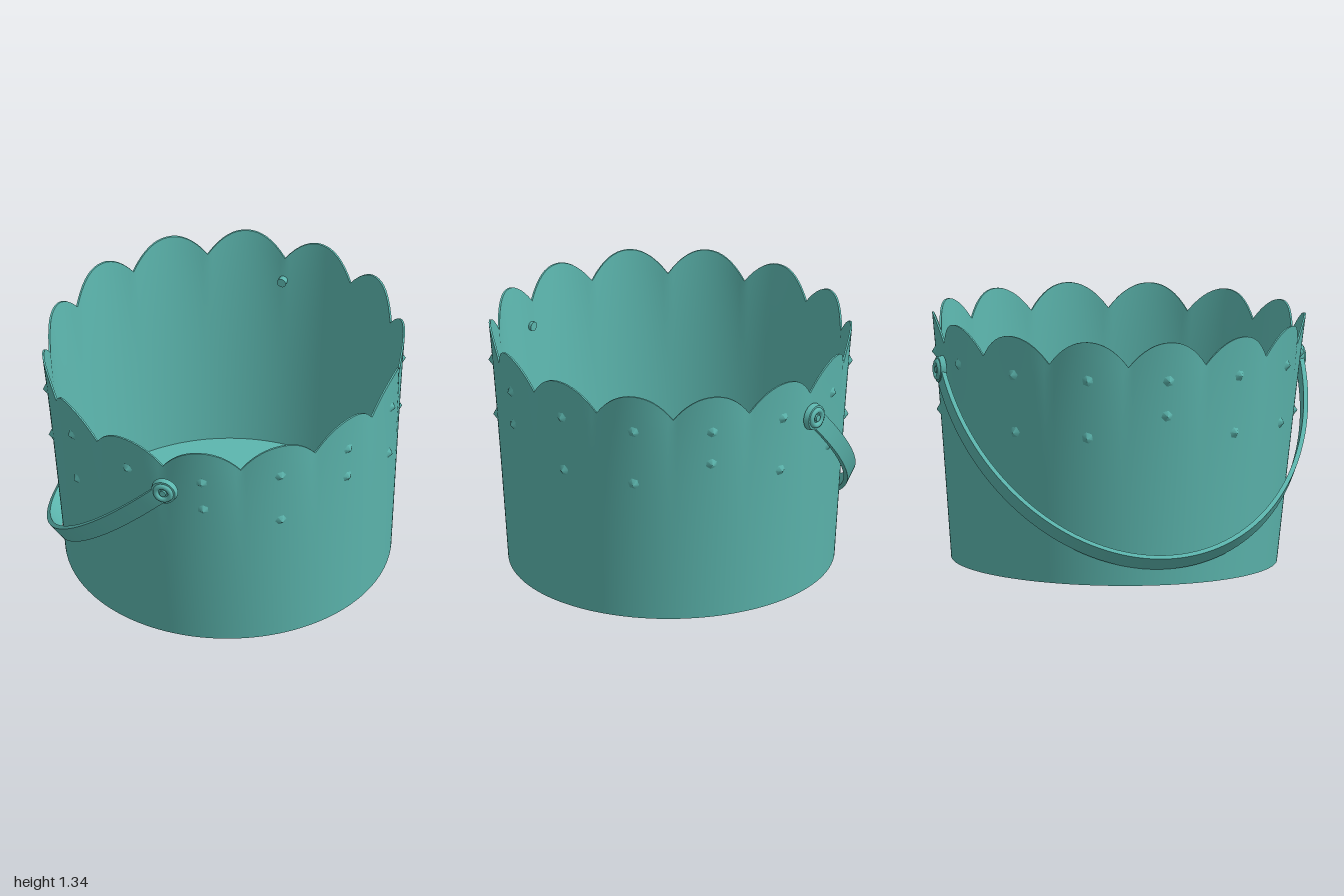
import * as THREE from 'three';
import { toCreasedNormals } from 'three/addons/utils/BufferGeometryUtils.js';

const PETALS = 14;
const STEP = (Math.PI * 2) / PETALS;
const FIRST_VALLEY = 0.061;
const FLOOR = 0.012;

// Petal profile around the rim: 0 in a valley, 1 at a crest
function petal(phi) {
  const s = (phi - FIRST_VALLEY) / STEP;
  const t = 2 * (s - Math.floor(s)) - 1;
  return 1 - Math.pow(Math.abs(t), 2.1);
}

const rimHeight = (phi) => 1.195 + 0.135 * petal(phi);

// Point on the tapering wall; inset moves it towards the axis
function wallPoint(phi, y, inset = 0) {
  const t = y / 1.33;
  const lobe = 0.022 * (petal(phi) - 0.6) * Math.pow(t, 4);
  const rx = 0.86 + 0.12 * t + lobe - inset;
  const rz = 0.863 + 0.075 * t + lobe - inset;
  return new THREE.Vector3(
    0.01 * (1 - t) + rx * Math.sin(phi), y, 0.012 * (1 - t) + rz * Math.cos(phi));
}

// Surface that closes around the axis, given by point(phi, v)
function ringSurface(point, rows, cols = PETALS * 16) {
  const pos = [], index = [];
  for (let j = 0; j <= rows; j++) {
    for (let i = 0; i < cols; i++) {
      pos.push(...point(FIRST_VALLEY + (i / cols) * Math.PI * 2, j / rows).toArray());
    }
  }
  for (let j = 0; j < rows; j++) {
    for (let i = 0; i < cols; i++) {
      const n = (i + 1) % cols;
      const a = j * cols + i, b = j * cols + n, c = a + cols, d = b + cols;
      index.push(a, b, d, a, d, c);
    }
  }
  const g = new THREE.BufferGeometry();
  g.setAttribute('position', new THREE.Float32BufferAttribute(pos, 3));
  g.setIndex(index);
  g.computeVertexNormals();
  return g;
}

export function createModel() {
  const model = new THREE.Group();
  model.name = 'bucket';
  const teal = new THREE.MeshStandardMaterial({ color: 0x5cb6ae });
  teal.name = 'teal';

  const add = (parent, name, geometry) => {
    const mesh = new THREE.Mesh(geometry, teal);
    mesh.name = name;
    parent.add(mesh);
    return mesh;
  };

  // The whole bucket leans very slightly
  const body = new THREE.Group();
  body.name = 'body';
  body.rotation.z = 0.012;
  body.position.set(0.01, 0, 0);
  model.add(body);

  // Walls, rim edge, floor and underside
  const lerp = THREE.MathUtils.lerp;
  const innerInset = (v) => lerp(0.022, 0.01, v);
  const innerFloor = 0.035;
  const underCentre = new THREE.Vector3(0.01, FLOOR, 0.012);
  const floorCentre = new THREE.Vector3(0.01, innerFloor, 0.012);
  add(body, 'outerWall', ringSurface((p, v) => wallPoint(p, lerp(FLOOR, rimHeight(p), v)), 18));
  add(body, 'rimEdge', ringSurface((p, v) => wallPoint(p, rimHeight(p), 0.01 * v), 1));
  add(body, 'innerWall', ringSurface(
    (p, v) => wallPoint(p, lerp(rimHeight(p), innerFloor, v), innerInset(1 - v)), 18));
  add(body, 'floor', ringSurface(
    (p, v) => wallPoint(p, innerFloor, 0.022).lerp(floorCentre, v), 2));
  add(body, 'underside', ringSurface(
    (p, v) => underCentre.clone().lerp(wallPoint(p, FLOOR), v), 2));

  // Small pointed studs: one under each petal, and a staggered lower row
  const studs = new THREE.Group();
  studs.name = 'studs';
  body.add(studs);
  const studGeometry = new THREE.ConeGeometry(0.038, 0.026, 6, 1, true);
  const up = new THREE.Vector3(0, 1, 0);
  const highLower = [2, 10, 12, 13, 7].filter((k) => k !== 10);
  for (let k = 0; k < PETALS; k++) {
    const phi = FIRST_VALLEY + (k + 0.5) * STEP;
    const lowerY = highLower.includes(k) && k !== 12 || k === 11 ? 0.93 : 0.81;
    for (const y of [1.12, lowerY]) {
      const stud = add(studs, 'stud', studGeometry);
      const out = new THREE.Vector3(Math.sin(phi), -0.08, Math.cos(phi)).normalize();
      stud.position.copy(wallPoint(phi, y)).addScaledVector(out, 0.008);
      stud.quaternion.setFromUnitVectors(up, out);
    }
  }

  // Handle frame: x along the pivot axis, y down the hanging arc
  const handle = new THREE.Group();
  handle.name = 'handle';
  const axis = new THREE.Vector3(0.96, 0, -0.285).normalize();
  const hang = new THREE.Vector3(-0.255, -0.92, -0.86);
  const drop = hang.length();
  hang.normalize();
  const side = new THREE.Vector3().crossVectors(axis, hang);
  handle.quaternion.setFromRotationMatrix(new THREE.Matrix4().makeBasis(axis, hang, side));
  handle.position.set(-0.005, 1.06, 0.01);
  body.add(handle);

  // Flat strap swept along half an ellipse
  const strap = new THREE.Shape();
  strap.absellipse(0, 0, 0.998, drop + 0.01, 0, Math.PI, false);
  strap.absellipse(0, 0, 0.974, drop - 0.014, Math.PI, 0, true);
  const strapGeometry = new THREE.ExtrudeGeometry(strap,
    { depth: 0.096, bevelEnabled: false, curveSegments: 64 });
  strapGeometry.translate(0, 0, -0.048);
  add(handle, 'strap', toCreasedNormals(strapGeometry, 0.6));

  // Rounded strap ends with a raised ring and a pivot pin
  for (const s of [1, -1]) {
    const end = new THREE.Group();
    end.name = s > 0 ? 'leftPivot' : 'rightPivot';
    end.position.x = s * 0.986;
    end.rotation.z = -s * Math.PI / 2;
    handle.add(end);
    add(end, 'strapEnd', new THREE.CylinderGeometry(0.068, 0.074, 0.03, 24));
    const ring = add(end, 'pivotRing', new THREE.TorusGeometry(0.042, 0.016, 8, 24));
    ring.rotation.x = Math.PI / 2;
    ring.position.y = 0.014;
    add(end, 'pivotPin', new THREE.CylinderGeometry(0.018, 0.026, 0.1, 12)).position.y = -0.024;
  }

  return model;
}
